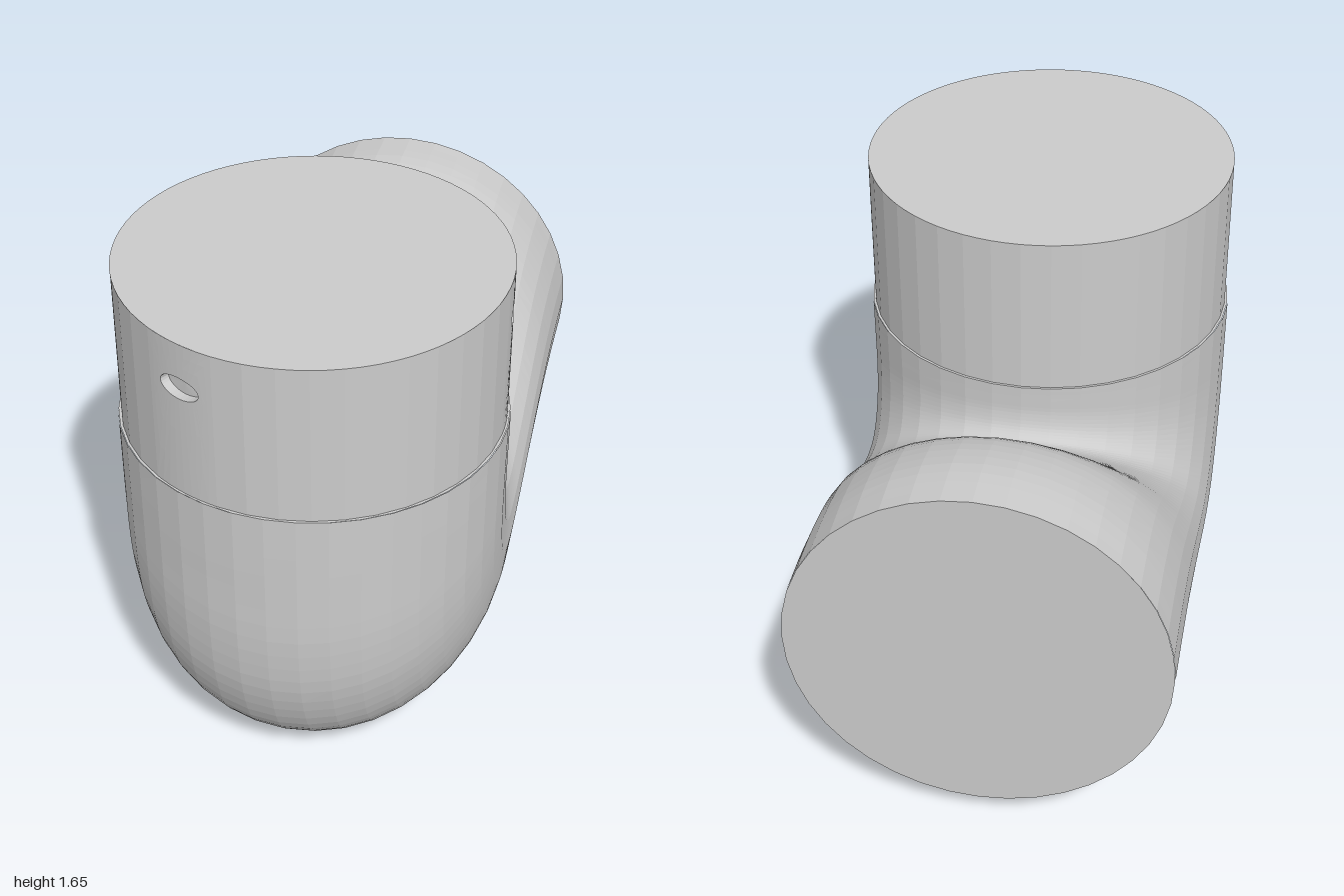
import * as THREE from 'three';

const SIDES = 40;
const COLLAR = { r: 0.592, z: 0.4, bottom: 1.13, top: 1.65 };

// Skin a list of closed rings, each with the same number of points.
function loft(rings) {
  const n = rings[0].length;
  const index = [];
  for (let i = 0; i < rings.length - 1; i++) {
    for (let j = 0; j < n; j++) {
      const k = (j + 1) % n;
      const a = i * n + j, b = (i + 1) * n + j, c = i * n + k, d = (i + 1) * n + k;
      index.push(a, b, c, c, b, d);
    }
  }
  const geometry = new THREE.BufferGeometry().setFromPoints(rings.flat());
  geometry.setIndex(index);
  geometry.computeVertexNormals();
  return geometry;
}

// Elbow body: elliptical sections between an outer and an inner spine curve.
function elbowGeometry() {
  // outer z, outer y, inner z, inner y
  const stations = [
    [1, 1.13, -0.198, 1.13], [1, 0.85, -0.198, 1.08], [0.995, 0.6, -0.2, 1.03],
    [0.96, 0.38, -0.212, 0.985], [0.87, 0.18, -0.235, 0.96], [0.72, 0.045, -0.26, 0.957],
    [0.5, 0.003, -0.3, 0.975], [0.25, 0.025, -0.36, 1.02], [0, 0.065, -0.43, 1.08],
    [-0.3, 0.1, -0.53, 1.175], [-0.55, 0.115, -0.65, 1.255], [-0.8, 0.12, -0.82, 1.298],
    [-1, 0.12, -1, 1.3],
  ];
  const spine = (o) => new THREE.CatmullRomCurve3(
    stations.map((s) => new THREE.Vector3(0, s[o + 1], s[o])), false, 'catmullrom', 0.5);
  const outer = spine(0), inner = spine(2);
  const rings = [];
  const steps = 48;
  for (let i = 0; i <= steps; i++) {
    const t = i / steps;
    const p = outer.getPoint(t), q = inner.getPoint(t);
    const centre = p.clone().add(q).multiplyScalar(0.5);
    const arm = p.sub(centre);
    const halfWidth = THREE.MathUtils.lerp(0.602, 0.592, t);
    rings.push(Array.from({ length: SIDES }, (_, j) => {
      const a = (j / SIDES) * Math.PI * 2;
      const v = centre.clone().addScaledVector(arm, Math.cos(a));
      v.x = halfWidth * Math.sin(a);
      return v;
    }));
  }
  return loft(rings);
}

// Wall panel of the collar with a shallow oval recess in it.
function recessPanel(angle, halfAngle) {
  const holeY = 1.5, holeA = 0.12, holeH = 0.036, depth = 0.03;
  const perSide = 8;
  // perimeter of a unit square, counter-clockwise
  const square = [];
  const corners = [[1, -1], [1, 1], [-1, 1], [-1, -1]];
  corners.forEach((c, s) => {
    const d = corners[(s + 1) % 4];
    for (let i = 0; i < perSide; i++) {
      const t = i / perSide;
      square.push([c[0] + (d[0] - c[0]) * t, c[1] + (d[1] - c[1]) * t]);
    }
  });
  // size: 0 centre to 1 rim; blend: 0 rim to 1 panel border
  const ring = (radius, size, blend) => square.map(([u, v]) => {
    const len = Math.hypot(u, v);
    const y0 = holeY + (v / len) * holeH * size;
    const y1 = THREE.MathUtils.lerp(COLLAR.bottom, COLLAR.top, (v + 1) / 2);
    const a = angle + THREE.MathUtils.lerp((u / len) * holeA * size, u * halfAngle, blend);
    return new THREE.Vector3(radius * Math.sin(a), THREE.MathUtils.lerp(y0, y1, blend),
      COLLAR.z + radius * Math.cos(a));
  });
  const r = COLLAR.r;
  return loft([ring(r - depth, 0, 0), ring(r - depth, 1, 0), ring(r, 1, 0),
    ring(r, 1, 0.33), ring(r, 1, 0.66), ring(r, 1, 1)]);
}

export function createModel() {
  const model = new THREE.Group();
  const material = new THREE.MeshStandardMaterial({ color: 0xcccccc, flatShading: true });
  const add = (name, geometry, parent = model) => {
    const mesh = new THREE.Mesh(geometry, material);
    mesh.name = name;
    parent.add(mesh);
    return mesh;
  };

  // Bent pipe body and its closing discs
  add('elbowBody', elbowGeometry());
  const lip = add('elbowLip', new THREE.CircleGeometry(0.6, SIDES).rotateX(-Math.PI / 2));
  lip.position.set(0, COLLAR.bottom, COLLAR.z);
  const end = add('backEnd', new THREE.CircleGeometry(0.591, SIDES).rotateY(Math.PI));
  end.position.set(0, 0.71, -1);

  // Upright collar: two recessed panels with plain wall between them
  const collar = new THREE.Group();
  collar.name = 'collar';
  model.add(collar);
  const half = 0.196;
  const recesses = [-0.436, 1.69];
  const height = COLLAR.top - COLLAR.bottom;
  recesses.forEach((angle, i) => {
    add('recessPanel', recessPanel(angle, half), collar);
    const next = i === 0 ? recesses[1] : recesses[0] + Math.PI * 2;
    const length = next - angle - half * 2;
    const wall = add('collarWall', new THREE.CylinderGeometry(COLLAR.r, COLLAR.r, height,
      Math.round((length / (Math.PI * 2)) * SIDES), 1, true, angle + half, length), collar);
    wall.position.set(0, COLLAR.bottom + height / 2, COLLAR.z);
  });
  const cap = add('collarTop', new THREE.CircleGeometry(COLLAR.r, 80).rotateX(-Math.PI / 2), collar);
  cap.position.set(0, COLLAR.top, COLLAR.z);

  return model;
}
